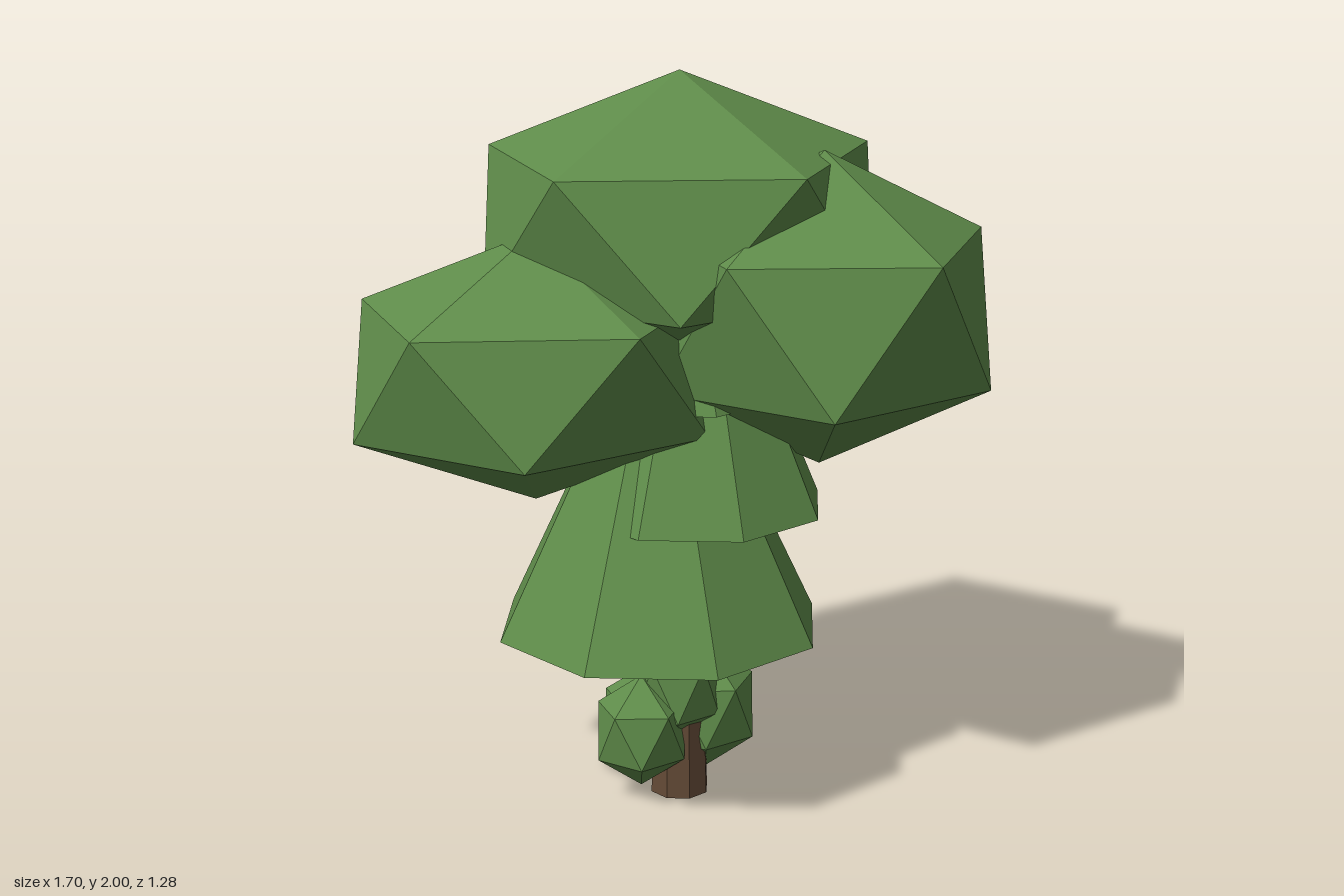
import * as THREE from 'three';

export function createModel() {
  const tree = new THREE.Group();
  tree.name = 'tree';

  const leaf = new THREE.MeshStandardMaterial({ color: 0x5f8c4a, flatShading: true });
  leaf.name = 'leaf green';
  const bark = new THREE.MeshStandardMaterial({ color: 0x634a36, flatShading: true });
  bark.name = 'bark brown';

  // Icosahedron standing on a corner, with an upper ring corner towards +x
  const clumpGeometry = new THREE.IcosahedronGeometry(1, 0);
  clumpGeometry.rotateX(-Math.atan((1 + Math.sqrt(5)) / 2));
  clumpGeometry.rotateY(Math.PI / 2);

  function addClump(name, [x, y, z], [rx, ry, rz]) {
    const mesh = new THREE.Mesh(clumpGeometry, leaf);
    mesh.name = name;
    mesh.position.set(x, y, z);
    mesh.scale.set(rx, ry, rz);
    tree.add(mesh);
  }

  // Eight-sided tapered section from y0 to y1
  function addTaper(name, material, x, z, y0, y1, rBottom, rTop) {
    const mesh = new THREE.Mesh(new THREE.CylinderGeometry(rTop, rBottom, y1 - y0, 8), material);
    mesh.name = name;
    mesh.position.set(x, (y0 + y1) / 2, z);
    tree.add(mesh);
  }

  // Trunk
  addTaper('trunk', bark, 0.035, 0.08, 0, 0.6, 0.083, 0.063);

  // Stacked skirts of foliage
  addTaper('lowerSkirt', leaf, -0.025, 0.08, 0.5, 1.15, 0.455, 0.14);
  addTaper('middleSkirt', leaf, 0.08, 0.08, 0.835, 1.3, 0.36, 0.16);
  addTaper('upperSkirt', leaf, 0.04, 0.08, 1.15, 1.5, 0.26, 0.08);

  // Crown
  addClump('topClump', [0.075, 1.6, -0.043], [0.613, 0.4, 0.56]);
  addClump('rightClump', [-0.36, 1.243, 0.035], [0.553, 0.363, 0.485]);
  addClump('leftClump', [0.387, 1.382, 0.21], [0.518, 0.427, 0.505]);
  addClump('backClump', [0.19, 1.128, -0.31], [0.436, 0.33, 0.388]);

  // Shrubs around the trunk
  addClump('rightShrub', [-0.085, 0.198, 0.1], [0.14, 0.163, 0.135]);
  addClump('leftShrub', [0.13, 0.217, 0.032], [0.157, 0.184, 0.143]);
  addClump('upperShrub', [0.03, 0.315, 0.072], [0.136, 0.18, 0.133]);
  addClump('backShrub', [-0.02, 0.18, -0.055], [0.13, 0.143, 0.122]);

  return tree;
}
